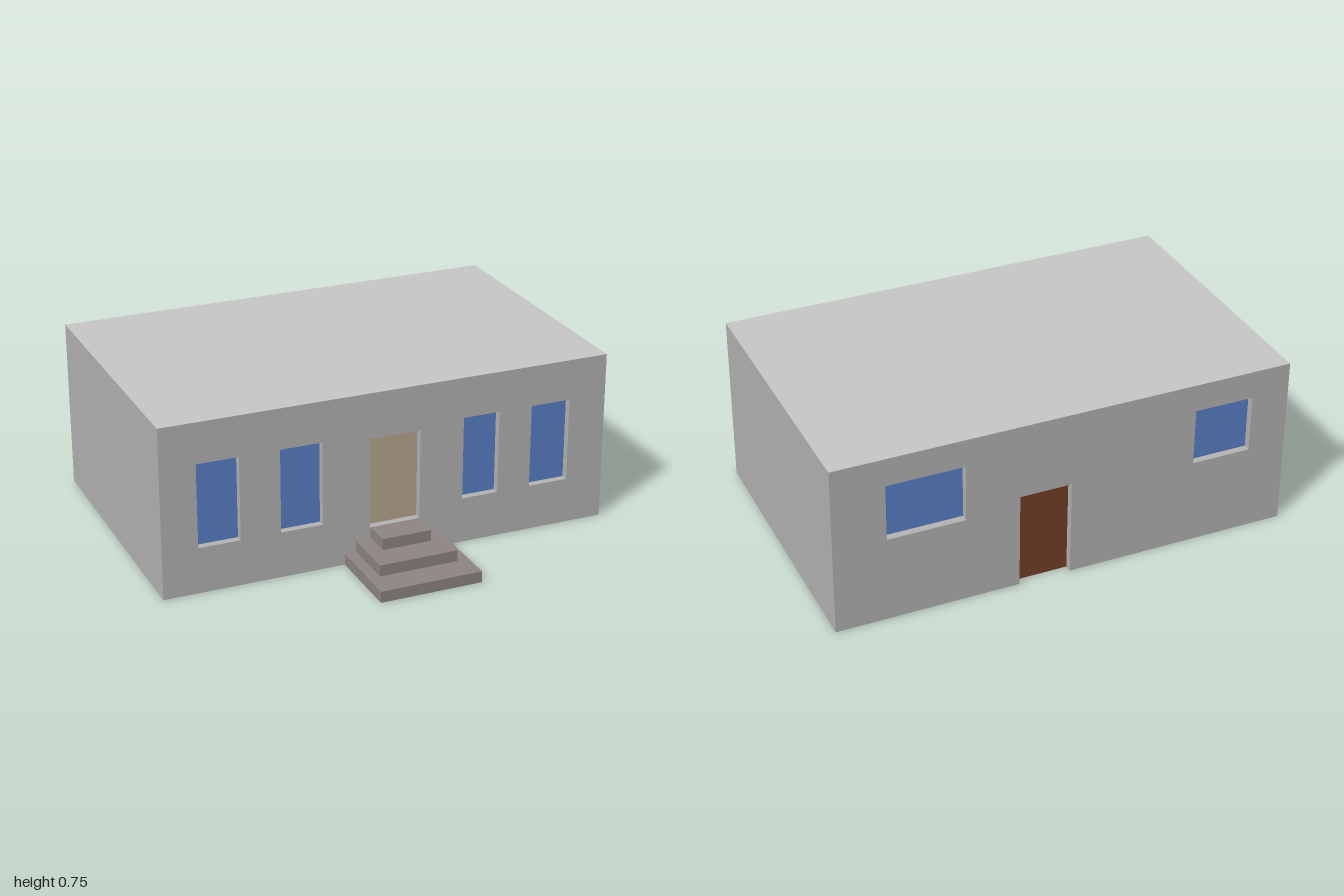
import * as THREE from 'three';

const mat = (name, color) => {
  const m = new THREE.MeshStandardMaterial({ color });
  m.name = name;
  return m;
};

const HEIGHT = 0.75, FRONT = 0.44, BACK = -0.8075, REVEAL = 0.035;

// openings as [name, material key, x0, x1, y0, y1]
const frontOpenings = [
  ['frontWindow1', 'glass', -0.845, -0.663, 0.203, 0.572],
  ['frontWindow2', 'glass', -0.487, -0.303, 0.203, 0.572],
  ['frontDoor', 'tanDoor', -0.092, 0.135, 0.15, 0.55],
  ['frontWindow3', 'glass', 0.333, 0.498, 0.203, 0.572],
  ['frontWindow4', 'glass', 0.65, 0.83, 0.203, 0.572],
];
const backOpenings = [
  ['backWindow1', 'glass', 0.439, 0.774, 0.38, 0.63],
  ['backDoor', 'brownDoor', -0.021, 0.205, 0, 0.425],
  ['backWindow2', 'glass', -0.833, -0.573, 0.38, 0.63],
];

export function createModel() {
  const model = new THREE.Group();
  model.name = 'house';
  const mats = {
    wall: mat('wall grey', 0xb4b4b4),
    roof: mat('roof grey', 0xc8c8c8),
    step: mat('step stone', 0x8e8682),
    glass: mat('window blue', 0x5a80c8),
    tanDoor: mat('door tan', 0xb8a88f),
    brownDoor: mat('door brown', 0x743f28),
  };

  const add = (name, geometry, material, x = 0, y = 0, z = 0) => {
    const mesh = new THREE.Mesh(geometry, material);
    mesh.name = name;
    mesh.position.set(x, y, z);
    model.add(mesh);
  };
  // box between two corners; top and underside may differ from the sides
  const block = (name, x0, x1, y0, y1, z0, z1, side, top = side, under = side) =>
    add(name, new THREE.BoxGeometry(x1 - x0, y1 - y0, z1 - z0),
      [side, side, top, under, side, side], (x0 + x1) / 2, (y0 + y1) / 2, (z0 + z1) / 2);

  // facade slab: openings at ground level notch the outline, the others are holes
  const facade = (name, openings, z0) => {
    const shape = new THREE.Shape();
    shape.moveTo(-1, 0);
    for (const [, , x0, x1, y0, y1] of openings) {
      if (y0 === 0) shape.lineTo(x0, 0).lineTo(x0, y1).lineTo(x1, y1).lineTo(x1, 0);
      else {
        const hole = new THREE.Path();
        hole.moveTo(x0, y0).lineTo(x0, y1).lineTo(x1, y1).lineTo(x1, y0).closePath();
        shape.holes.push(hole);
      }
    }
    shape.lineTo(1, 0).lineTo(1, HEIGHT).lineTo(-1, HEIGHT).closePath();
    const geometry = new THREE.ExtrudeGeometry(shape, { depth: REVEAL, bevelEnabled: false });
    add(name, geometry, mats.wall, 0, 0, z0);
  };
  facade('frontWall', frontOpenings, FRONT - REVEAL);
  facade('backWall', backOpenings, BACK);

  // body behind the facades, and a thin roof skin over everything
  block('body', -1, 1, 0, HEIGHT, BACK + REVEAL, FRONT - REVEAL, mats.wall);
  block('roof', -1, 1, HEIGHT, HEIGHT + 0.002, BACK, FRONT, mats.wall, mats.roof);

  // recessed glass and doors
  const panels = (openings, z) => {
    for (const [name, key, x0, x1, y0, y1] of openings)
      block(name, x0, x1, y0, y1, z - 0.003, z + 0.003, mats[key]);
  };
  panels(frontOpenings, FRONT - REVEAL);
  panels(backOpenings, BACK + REVEAL);

  // entrance steps, each smaller than the one below
  [[-0.205, 0.247, 0.8075], [-0.155, 0.195, 0.685], [-0.088, 0.132, 0.5625]].forEach(
    ([x0, x1, z1], i) => block(`step${i + 1}`, x0, x1, i * 0.05, (i + 1) * 0.05, FRONT, z1,
      mats.step, mats.step, i === 0 ? mats.wall : mats.step));

  return model;
}
